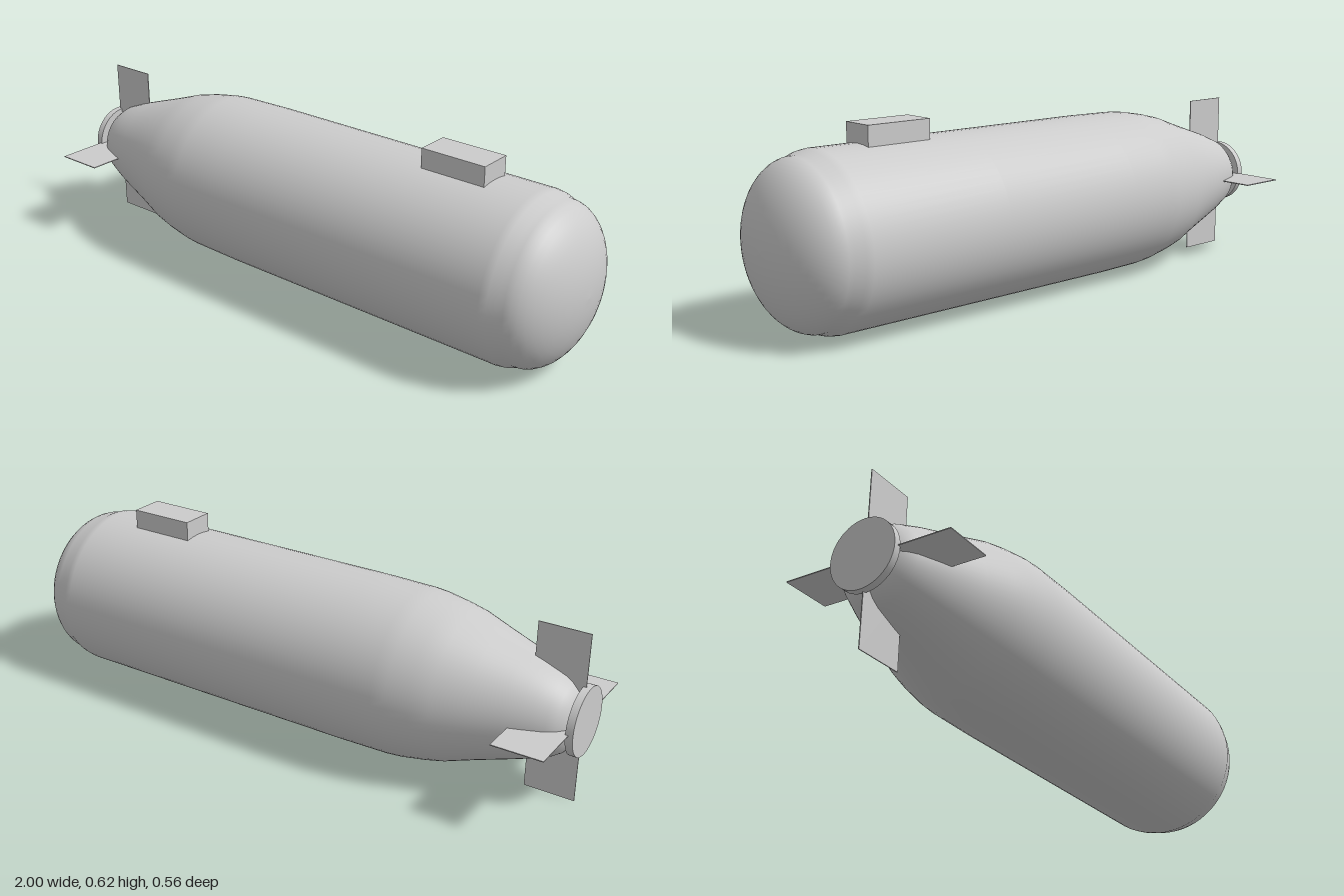
import * as THREE from 'three';

const AXIS_Y = 0.281;
const material = new THREE.MeshStandardMaterial({ color: 0xcccccc, side: THREE.DoubleSide });

function addMesh(parent, name, geometry, x = 0, y = 0, z = 0) {
  const mesh = new THREE.Mesh(geometry, material);
  mesh.name = name;
  mesh.position.set(x, y, z);
  parent.add(mesh);
  return mesh;
}

export function createModel() {
  const model = new THREE.Group();
  model.name = 'torpedoShapedVessel';

  // Hull: [radius, position along x], from tail to nose
  const profile = [
    [0, -0.985], [0.035, -0.983], [0.065, -0.977], [0.09, -0.965], [0.113, -0.945],
    [0.13, -0.92], [0.146, -0.88], [0.158, -0.85], [0.175, -0.8], [0.208, -0.7], [0.243, -0.6],
    [0.257, -0.54], [0.27, -0.465], [0.274, -0.42], [0.277, -0.25], [0.277, 0.3],
    [0.277, 0.8], [0.273, 0.825], [0.262, 0.853],
  ];
  // Rounded nose cap
  for (let i = 1; i <= 12; i++) {
    const a = (i / 12) * Math.PI / 2;
    profile.push([0.262 * Math.cos(a), 0.853 + 0.147 * Math.sin(a)]);
  }
  const hull = new THREE.LatheGeometry(
    profile.map(([r, x]) => new THREE.Vector2(Math.max(r, 0), x)), 64);
  hull.rotateZ(-Math.PI / 2);
  addMesh(model, 'hull', hull, 0, AXIS_Y);

  // Tail disc
  const disc = new THREE.CylinderGeometry(0.11, 0.11, 0.024, 48);
  disc.rotateZ(Math.PI / 2);
  addMesh(model, 'tailDisc', disc, -0.988, AXIS_Y);

  // Four thin tail fins
  const fins = new THREE.Group();
  fins.name = 'tailFins';
  fins.position.set(-0.903, AXIS_Y, 0);
  for (let i = 0; i < 4; i++) {
    const fin = new THREE.BoxGeometry(0.165, 0.24, 0.003);
    fin.translate(0, 0.16, 0);
    addMesh(fins, 'tailFin', fin).rotation.x = i * Math.PI / 2;
  }
  model.add(fins);

  // Box on top of the hull
  addMesh(model, 'topBox', new THREE.BoxGeometry(0.225, 0.107, 0.113), 0.55, 0.5635);

  return model;
}
